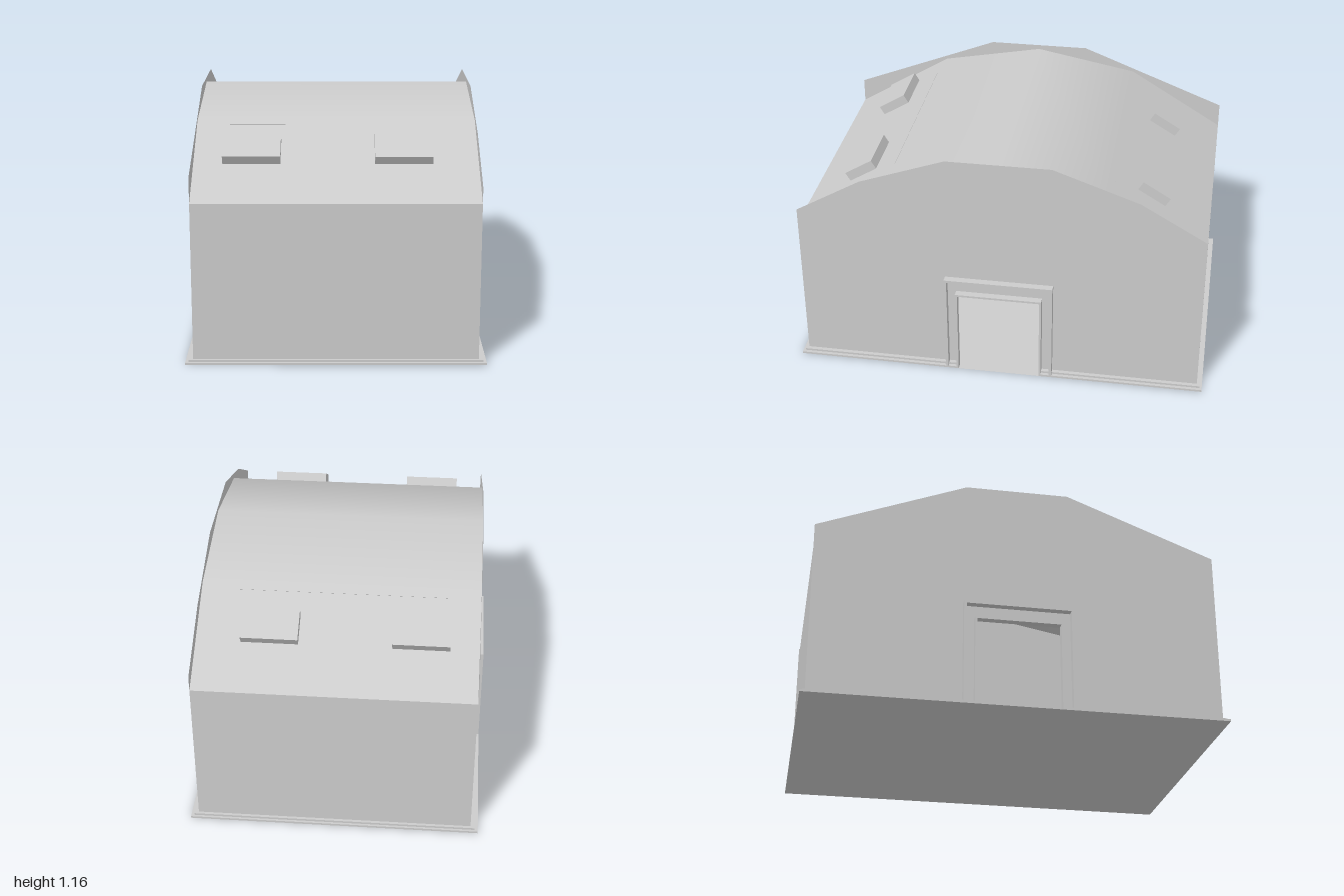
import * as THREE from 'three';

const W = 0.655;   // half width between the gable walls
const D = 0.975;   // half depth to the eave walls
const EAVE = 0.755;
const OUT = 0.035; // how far door trim and plinth stand out

export function createModel() {
  const model = new THREE.Group();
  const material = new THREE.MeshStandardMaterial({ color: 0xcccccc, side: THREE.DoubleSide });

  const add = (name, geometry, x = 0, y = 0, z = 0) => {
    const mesh = new THREE.Mesh(geometry, material);
    mesh.name = name;
    mesh.position.set(x, y, z);
    model.add(mesh);
    return mesh;
  };
  const box = (name, w, h, d, x, y, z) => add(name, new THREE.BoxGeometry(w, h, d), x, y, z);
  const shape = (points) => new THREE.Shape(points.map(([z, y]) => new THREE.Vector2(z, y)));

  // Thin floor and the two eave walls
  add('floor', new THREE.PlaneGeometry(2 * (W + OUT), 2).rotateX(-Math.PI / 2));
  for (const s of [1, -1]) {
    const wall = new THREE.PlaneGeometry(2 * W, EAVE);
    if (s < 0) wall.rotateY(Math.PI);
    add(s > 0 ? 'frontWall' : 'backWall', wall, 0, EAVE / 2, s * D);
  }

  // Gable walls rise above the roof and have a doorway cut up from the floor
  const gable = (shoulder) => {
    const half = [[0.2, 0], [D, 0], ...shoulder, [0.25, 1.157]];
    const mirrored = half.map(([z, y]) => [-z, y]).reverse();
    const outline = [[0.2, 0.435], ...half, ...mirrored, [-0.2, 0.435]];
    return new THREE.ShapeGeometry(shape(outline)).rotateY(-Math.PI / 2);
  };
  add('leftGable', gable([[D, 0.83], [0.66, 1.012]]), W);
  add('rightGable', gable([[D, 0.875]]), -W);

  // Roof: four facets with softened normals over the crown
  const profile = [[D, EAVE], [0.505, 1.04], [0, 1.135], [-0.505, 1.04], [-D, EAVE]];
  const tilt = Math.atan2(1.04 - EAVE, D - 0.505);
  const positions = [], normals = [], index = [];
  profile.forEach(([z, y], i) => {
    const a = Math.sign(z) * tilt;
    for (const x of [-W, W]) {
      positions.push(x, y, z);
      normals.push(0, Math.cos(a), Math.sin(a));
    }
    const k = i * 2;
    if (i < profile.length - 1) index.push(k, k + 1, k + 3, k, k + 3, k + 2);
  });
  const roof = new THREE.BufferGeometry();
  roof.setAttribute('position', new THREE.Float32BufferAttribute(positions, 3));
  roof.setAttribute('normal', new THREE.Float32BufferAttribute(normals, 3));
  roof.setIndex(index);
  add('roof', roof);

  // Roof vents and a slim batten on each slope
  for (const s of [1, -1]) {
    for (const x of [-0.388, 0.312]) {
      box('roofVent', 0.266, 0.047, 0.153, x, 0.947, s * 0.708).rotation.x = s * tilt;
    }
    box('roofBatten', 0.99, 0.008, 0.008, -0.005, 1.024, s * 0.526).rotation.x = s * tilt;
  }

  // Door trim: an outer surround and an inner lining on both gables
  const arch = (z, y, t) => new THREE.ExtrudeGeometry(shape([
    [z, 0], [z, y], [-z, y], [-z, 0], [t - z, 0], [t - z, y - t], [z - t, y - t], [z - t, 0],
  ]), { depth: OUT, bevelEnabled: false }).rotateY(-Math.PI / 2);
  for (const x of [W + OUT, -W]) {
    add('doorSurround', arch(0.263, 0.52, 0.012), x);
    add('doorLining', arch(0.21, 0.442, 0.01), x);
  }

  // Two-step plinth, broken at the doorways
  for (const [y, step] of [[0.005, 1], [0.015, 0.55]]) {
    const ox = OUT * step, oz = 0.025 * step;
    for (const s of [1, -1]) {
      box('plinthEnd', 2 * (W + ox), 0.01, oz, 0, y, s * (D + oz / 2));
      for (const t of [1, -1]) {
        const length = D + oz - 0.2;
        box('plinthSide', ox, 0.01, length, s * (W + ox / 2), y, t * (0.2 + length / 2));
      }
    }
  }
  return model;
}
